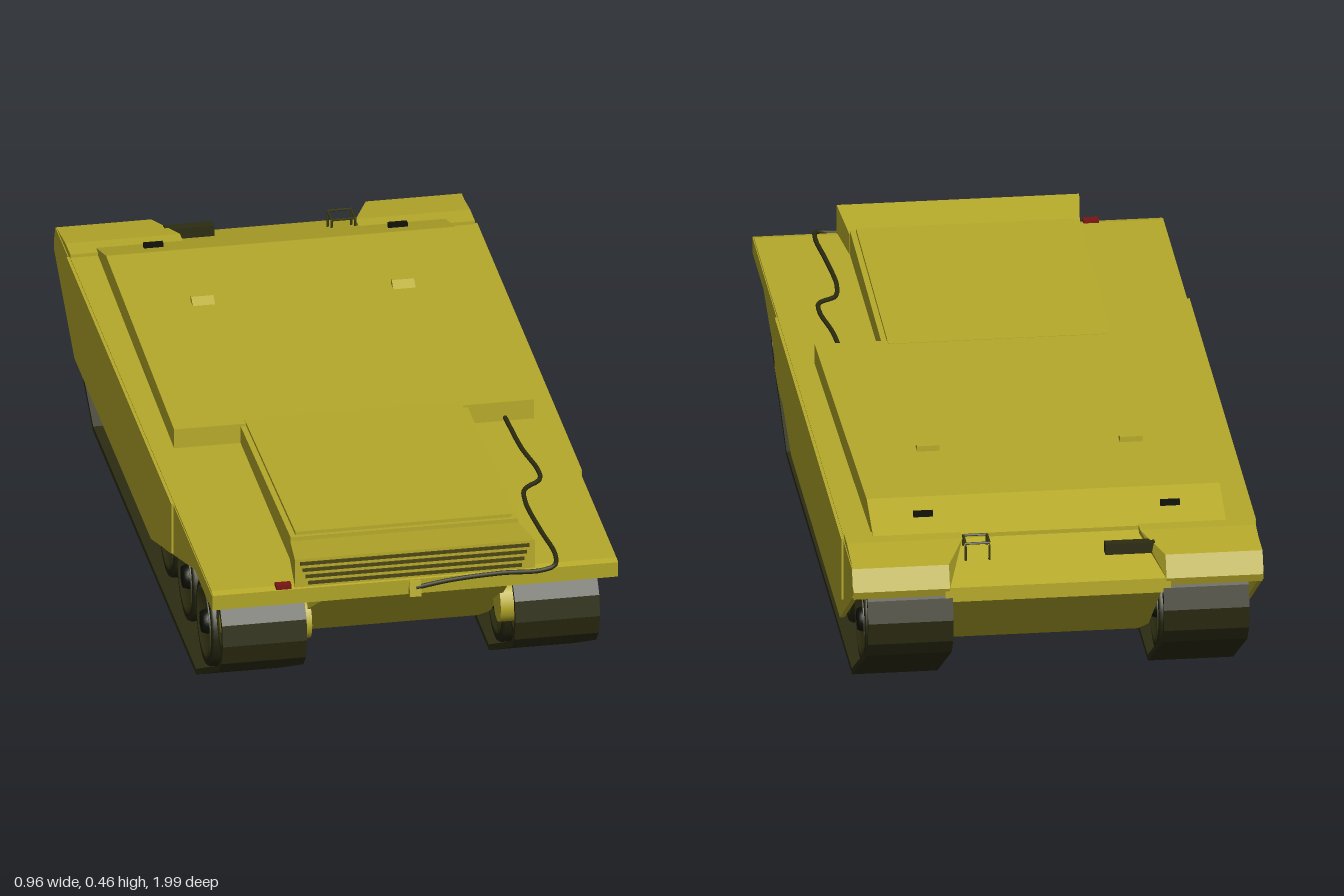
import * as THREE from 'three';

const paint = (color, side = THREE.FrontSide) => new THREE.MeshStandardMaterial({ color, side });
const YELLOW = paint(0xb5a92a), TRACK = paint(0x2c2c12), WHEEL = paint(0x3b3b18);
const RUBBER = paint(0x24240f), BLACK = paint(0x101008), SLOT = paint(0x4a4414), RED = paint(0x7a1512);

function add(parent, name, geometry, material) {
  const mesh = new THREE.Mesh(geometry, material);
  mesh.name = name;
  parent.add(mesh);
  return mesh;
}

function box(parent, name, w, h, d, x, y, z, material) {
  const mesh = add(parent, name, new THREE.BoxGeometry(w, h, d), material);
  mesh.position.set(x, y, z);
  return mesh;
}

// Extrudes a side profile of [z, y] points from x0 to x1; warp may move the vertices
function extrudeX(profile, x0, x1, { hole, warp } = {}) {
  const toPoints = list => list.map(([z, y]) => new THREE.Vector2(-z, y));
  const shape = new THREE.Shape(toPoints(profile));
  if (hole) shape.holes.push(new THREE.Path(toPoints(hole)));
  const geo = new THREE.ExtrudeGeometry(shape, { depth: x1 - x0, bevelEnabled: false });
  geo.rotateY(Math.PI / 2).translate(x0, 0, 0);
  if (warp) {
    const p = geo.attributes.position;
    for (let i = 0; i < p.count; i++) p.setX(i, warp(p.getX(i), p.getY(i), p.getZ(i)));
    geo.computeVertexNormals();
  }
  return geo;
}

// Mitred inward offset of a closed convex profile
function inset(points, t) {
  const c = new THREE.Vector2(0, 0.17), n = points.length;
  const normal = (a, b) => {
    const v = new THREE.Vector2(a[1] - b[1], b[0] - a[0]).normalize();
    return v.dot(new THREE.Vector2(c.x - a[0], c.y - a[1])) < 0 ? v.negate() : v;
  };
  return points.map((p, i) => {
    const n1 = normal(points[(i + n - 1) % n], p), n2 = normal(p, points[(i + 1) % n]);
    const m = n1.clone().add(n2), k = t / (1 + n1.dot(n2));
    return [p[0] + m.x * k, p[1] + m.y * k];
  });
}

const TRACK_PATH = [
  [0.60, 0], [-0.68, 0], [-0.96, 0.165], [-0.99, 0.205], [-1, 0.26], [-0.985, 0.31], [-0.95, 0.34],
  [0.83, 0.345], [0.885, 0.325], [0.922, 0.28], [0.93, 0.23], [0.915, 0.18], [0.88, 0.145],
];

// Paired wheel: two tyred discs, a dished face and a hub, axis along x
function makeWheel(name, r, hubMaterial) {
  const wheel = new THREE.Group();
  wheel.name = name;
  const turn = (part, pts, material) => {
    const geo = new THREE.LatheGeometry(pts.map(([a, b]) => new THREE.Vector2(a * r, b)), 28);
    add(wheel, part, geo.rotateZ(-Math.PI / 2).toNonIndexed(), material);
  };
  for (const x of [-0.05, 0.045]) {
    turn('tyre', [[0.8, x - 0.03], [0.97, x - 0.03], [1, x - 0.024], [1, x + 0.024], [0.97, x + 0.03], [0.8, x + 0.03]], RUBBER);
    turn('disc', [[0, x - 0.02], [0.5, x - 0.02], [0.72, x - 0.032], [0.82, x - 0.032], [0.82, x + 0.032],
      [0.72, x + 0.032], [0.5, x + 0.02], [0, x + 0.02]], WHEEL);
  }
  turn('hub', [[0, -0.088], [0.24, -0.088], [0.28, -0.07], [0.28, 0.07], [0.24, 0.082], [0, 0.082]], hubMaterial);
  return wheel;
}

function makeRunningGear(side) {
  const gear = new THREE.Group();
  gear.name = side > 0 ? 'leftRunningGear' : 'rightRunningGear';
  const [x0, x1] = side > 0 ? [0.243, 0.44] : [-0.44, -0.243];
  const mid = (x0 + x1) / 2;
  add(gear, 'track', extrudeX(TRACK_PATH, x0, x1, { hole: inset(TRACK_PATH, 0.013) }), TRACK);

  // Guide teeth on the lower run and both ramps
  const runs = [[0.6, 0, -0.68, 0, 16], [0.6, 0, 0.88, 0.145, 4], [-0.68, 0, -0.96, 0.165, 4]];
  for (const [za, ya, zb, yb, count] of runs) {
    for (let i = 0; i < count; i++) {
      const t = (i + 0.5) / count;
      const tooth = box(gear, 'guideTooth', 0.025, 0.026, 0.014, mid,
        ya + (yb - ya) * t + 0.022, za + (zb - za) * t, TRACK);
      tooth.rotation.x = -Math.atan((yb - ya) / (zb - za));
    }
  }
  const place = (wheel, y, z) => {
    wheel.position.set(mid, y, z);
    wheel.scale.x = side;
    if (side < 0) wheel.rotation.set(0, Math.PI, 0), wheel.scale.x = 1;
    gear.add(wheel);
  };
  for (const z of [0.575, 0.34, 0.11, -0.13, -0.4, -0.645]) place(makeWheel('roadWheel', 0.104, BLACK), 0.122, z);
  place(makeWheel('frontSprocket', 0.1, YELLOW), 0.237, 0.82);
  place(makeWheel('rearIdler', 0.088, BLACK), 0.25, -0.9);
  return gear;
}

export function createModel() {
  const model = new THREE.Group();
  model.name = 'trackedHull';

  // Lower hull with chamfered belly
  const lower = [[0.975, 0.352], [0.73, 0.19], [0.62, 0.11], [0.58, 0.082], [-0.68, 0.082], [-0.72, 0.11], [-0.975, 0.3], [-0.975, 0.335], [-0.8, 0.39]];
  add(model, 'lowerHull', extrudeX(lower, -0.24, 0.24, {
    warp: (x, y, z) => x * (y < 0.1 ? 0.92 : z > 0.9 ? 0.9 : 1),
  }), YELLOW);

  // Fender deck
  add(model, 'fenderDeck', extrudeX([[0.975, 0.35], [0.978, 0.388], [0.96, 0.392], [-0.8, 0.392], [-0.8, 0.35]], -0.472, 0.472), YELLOW);

  // Raised upper deck, falling away and narrowing at the rear
  add(model, 'upperDeck', extrudeX([[0.22, 0.36], [0.22, 0.44], [-0.69, 0.44], [-0.82, 0.398], [-0.82, 0.36]], -0.42, 0.42, {
    warp: (x, y, z) => x * (z < -0.6 ? 0.97 : 1),
  }), YELLOW);

  // Engine cover with a slim rim, then the louvred grille box
  add(model, 'engineCoverRim', extrudeX([[0.84, 0.38], [0.84, 0.452], [0.2, 0.434], [0.2, 0.38]], -0.265, 0.265), YELLOW);
  add(model, 'engineCover', extrudeX([[0.83, 0.38], [0.83, 0.46], [0.2, 0.441], [0.2, 0.38]], -0.252, 0.252), YELLOW);
  add(model, 'grilleBox', extrudeX([[0.972, 0.38], [0.972, 0.46], [0.84, 0.442], [0.84, 0.38]], -0.28, 0.28, {
    warp: (x, y, z) => x * (z < 0.9 ? 0.95 : 1),
  }), YELLOW);
  for (let i = 0; i < 4; i++) box(model, 'louverSlot', 0.535 - i * 0.012, 0.008, 0.006, 0, 0.449 - i * 0.0165, 0.972, SLOT);

  // Sloping rear plate between the fenders
  add(model, 'rearPlate', extrudeX([[-0.79, 0.398], [-0.985, 0.335], [-0.985, 0.3], [-0.79, 0.35]], -0.26, 0.26), YELLOW);

  for (const side of [1, -1]) {
    const span = (a, b) => side > 0 ? [a, b] : [-b, -a];
    // Rear fender with a flared inner wall
    add(model, 'rearFender', extrudeX([[-0.79, 0.4], [-0.85, 0.4], [-0.965, 0.385], [-0.988, 0.335], [-0.98, 0.315], [-0.79, 0.345]],
      ...span(0.2, 0.472), {
        warp: (x, y, z) => Math.abs(x) < 0.3 ? side * (z < -0.9 ? 0.25 : 0.205) : x,
      }), YELLOW);
    // Side skirt and its outer panel
    add(model, 'sideSkirt', extrudeX([[0.975, 0.388], [0.975, 0.35], [0.76, 0.35], [0.22, 0.165], [-0.73, 0.165], [-0.98, 0.32],
      [-0.985, 0.34], [-0.965, 0.385]], ...span(0.463, 0.474)), YELLOW);
    add(model, 'skirtPanel', extrudeX([[0.5, 0.39], [0.5, 0.264], [0.43, 0.24], [-0.8, 0.24], [-0.8, 0.39]], ...span(0.472, 0.479)), YELLOW);
    // Final drive housing
    const drive = add(model, 'finalDrive', new THREE.CylinderGeometry(0.05, 0.05, 0.06, 16), YELLOW);
    drive.rotation.z = Math.PI / 2;
    drive.position.set(side * 0.25, 0.237, 0.82);
    // Deck fittings
    add(model, 'deckLug', extrudeX([[-0.395, 0.438], [-0.43, 0.438], [-0.43, 0.453], [-0.42, 0.453]], ...span(0.208, 0.26)), YELLOW);
    box(model, 'rearDeckHandle', 0.045, 0.012, 0.012, side * 0.285, 0.425, -0.755, BLACK);
    model.add(makeRunningGear(side));
  }

  // Rear lamp block, wire bracket, front marker and tow tab
  box(model, 'rearLampBlock', 0.115, 0.026, 0.024, -0.175, 0.381, -0.9, TRACK);
  const bracket = new THREE.Group();
  bracket.name = 'wireBracket';
  model.add(bracket);
  const wire = pts => add(bracket, 'bracketWire', new THREE.TubeGeometry(
    new THREE.CatmullRomCurve3(pts.map(p => new THREE.Vector3(...p)), false, 'catmullrom', 0.01), 16, 0.003, 5), WHEEL);
  wire([[0.148, 0.36, -0.895], [0.148, 0.405, -0.895], [0.203, 0.405, -0.895], [0.203, 0.36, -0.895]]);
  for (const x of [0.148, 0.203]) wire([[x, 0.405, -0.895], [x, 0.405, -0.845], [x, 0.375, -0.845]]);
  wire([[0.148, 0.405, -0.845], [0.203, 0.405, -0.845]]);
  box(model, 'frontMarker', 0.036, 0.012, 0.02, -0.306, 0.393, 0.966, RED);
  add(model, 'towTab', extrudeX([[0.972, 0.35], [0.992, 0.35], [0.986, 0.386], [0.972, 0.386]], -0.015, 0.012), YELLOW);

  // Tow cable along the front edge and the left fender
  const cable = [[0, 0.37, 0.985], [0.08, 0.381, 0.983], [0.2, 0.388, 0.983], [0.29, 0.387, 0.985], [0.325, 0.393, 0.978],
    [0.335, 0.398, 0.93], [0.325, 0.398, 0.8], [0.318, 0.398, 0.65], [0.33, 0.398, 0.585], [0.37, 0.4, 0.55],
    [0.376, 0.4, 0.5], [0.36, 0.4, 0.38], [0.352, 0.4, 0.22]];
  add(model, 'towCable', new THREE.TubeGeometry(
    new THREE.CatmullRomCurve3(cable.map(p => new THREE.Vector3(...p))), 70, 0.0055, 7), TRACK);

  return model;
}
